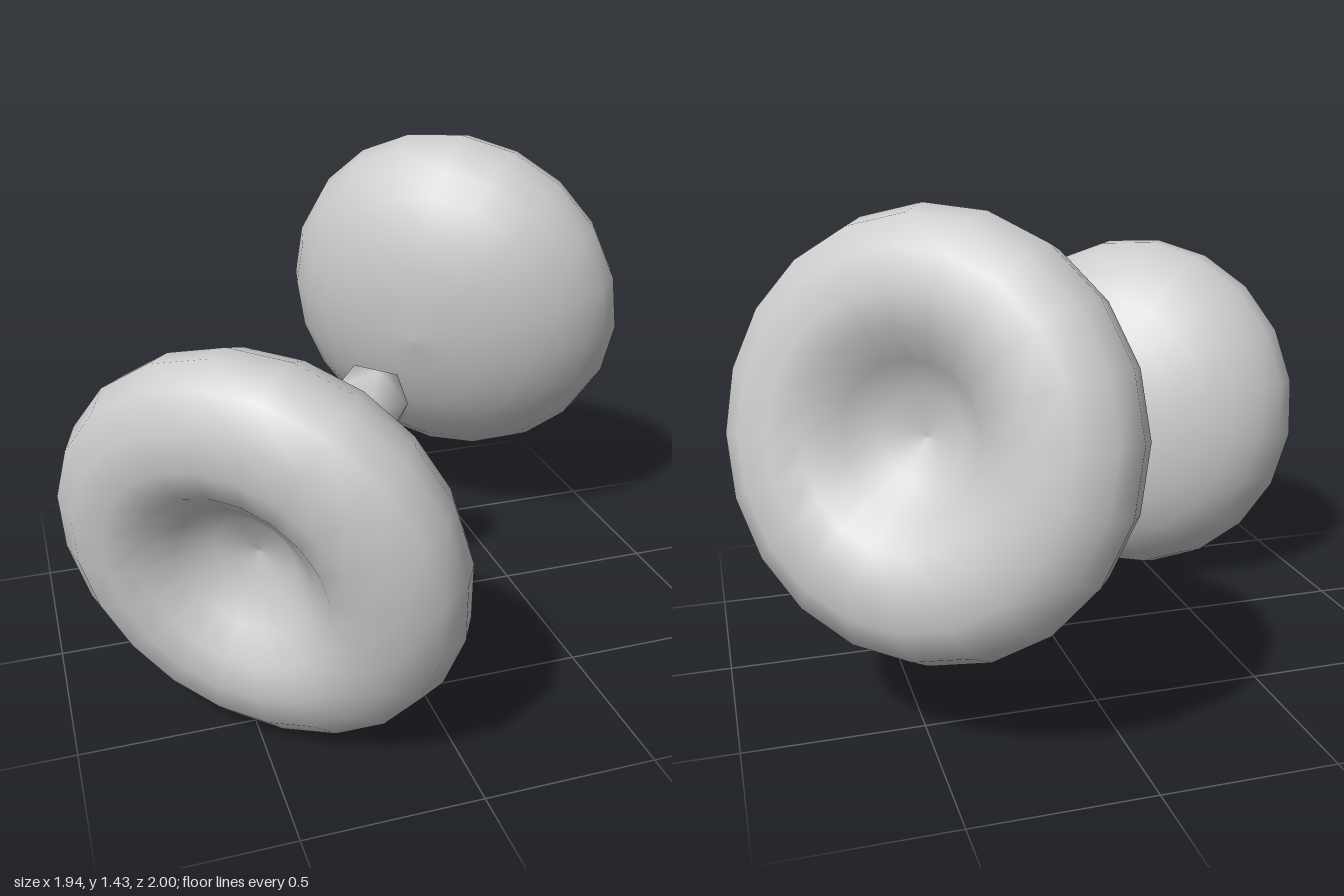
import * as THREE from 'three';

const material = new THREE.MeshStandardMaterial({ color: 0xcccccc });

// Disc domed on one side (-y) and dented on the other (+y)
function dentedDisc() {
  const radius = 0.592, domeHeight = 0.375, rings = 7;
  const profile = [];
  for (let i = 0; i < rings; i++) {
    const a = (i / rings) * Math.PI / 2;
    profile.push(new THREE.Vector2(radius * Math.sin(a), -domeHeight * Math.cos(a)));
  }
  // Rounded rim, then down into the dent
  const rim = [
    [radius, 0], [0.56, 0.085], [0.475, 0.145], [0.37, 0.165], [0.28, 0.14],
    [0.2, 0.075], [0.12, 0.01], [0, -0.015],
  ];
  for (const [r, h] of rim) profile.push(new THREE.Vector2(r, h));
  return new THREE.LatheGeometry(profile, 20);
}

export function createModel() {
  const model = new THREE.Group();
  model.name = 'discPair';
  const middle = new THREE.Vector3(0, 0.7235, 0);
  const axis = new THREE.Vector3(-0.646, -0.18, 0.742).normalize();
  const up = new THREE.Vector3(0, 1, 0);

  // Two discs on one tilted axis, dents facing outward
  const geometry = dentedDisc();
  for (const [name, side] of [['frontDisc', 1], ['backDisc', -1]]) {
    const direction = axis.clone().multiplyScalar(side);
    const disc = new THREE.Mesh(geometry, material);
    disc.name = name;
    disc.position.copy(middle).addScaledVector(direction, 0.757);
    disc.quaternion.setFromUnitVectors(up, direction);
    model.add(disc);
  }

  // Small smooth-shaded bead between the discs
  const beadGeometry = new THREE.IcosahedronGeometry(0.132, 0);
  const position = beadGeometry.attributes.position;
  const normal = new THREE.Vector3();
  for (let i = 0; i < position.count; i++) {
    normal.fromBufferAttribute(position, i).normalize();
    beadGeometry.attributes.normal.setXYZ(i, normal.x, normal.y, normal.z);
  }
  const bead = new THREE.Mesh(beadGeometry, material);
  bead.name = 'centerBead';
  bead.position.copy(middle);
  bead.quaternion.setFromUnitVectors(up, axis);
  model.add(bead);

  return model;
}
